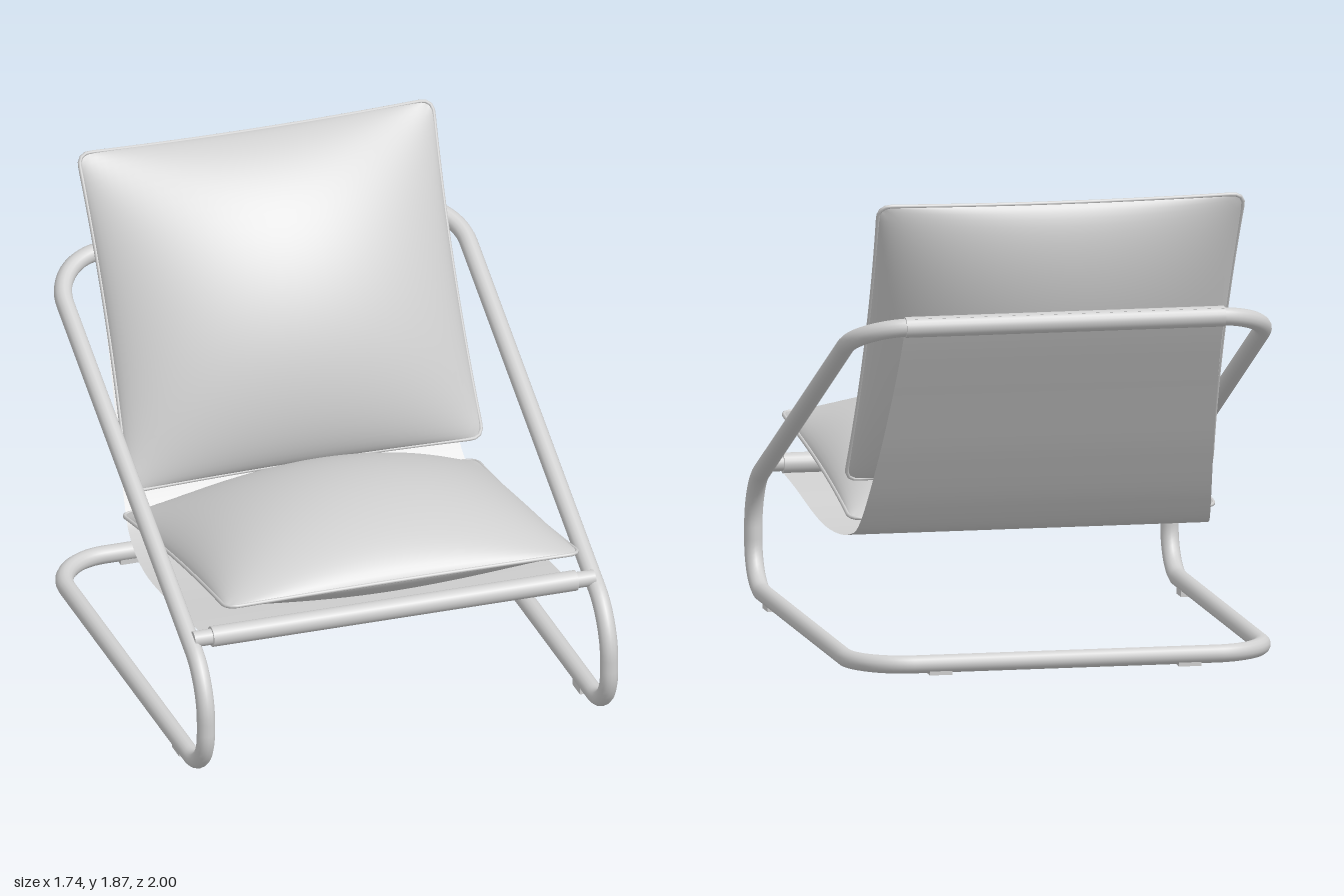
import * as THREE from 'three';

const V = (x, y, z) => new THREE.Vector3(x, y, z);

// closed 3D path through corners, each rounded by its own trim length
function roundedLoop(corners) {
  const path = new THREE.CurvePath();
  const n = corners.length;
  const bends = corners.map(({ p, trim }, i) => {
    const before = corners[(i + n - 1) % n].p, after = corners[(i + 1) % n].p;
    const toward = (q, d) => p.clone().add(q.clone().sub(p).setLength(d));
    return new THREE.CubicBezierCurve3(
      toward(before, trim), toward(before, trim * 0.45),
      toward(after, trim * 0.45), toward(after, trim));
  });
  bends.forEach((bend, i) => {
    path.add(bend);
    path.add(new THREE.LineCurve3(bend.v3, bends[(i + 1) % n].v0));
  });
  return path;
}

// outline rule of a cushion: pinched sides and rounded corners; s, t in -1..1
function cushionPoint(s, t, W, L) {
  const r = 0.05;
  let dx = Math.abs(s) * W - (W - r), dz = Math.abs(t) * L - (L - r);
  if (dx > 0 && dz > 0) {
    const k = Math.max(dx, dz) / Math.hypot(dx, dz);
    dx *= k;
    dz *= k;
  }
  const x = Math.sign(s) * (W - r + dx) * (1 - 0.025 * (1 - t * t));
  const z = Math.sign(t) * (L - r + dz) * (1 - 0.02 * (1 - s * s));
  return [x, z];
}

// one puffed half of a cushion
function cushionHalf(W, L, H, up) {
  const geo = new THREE.PlaneGeometry(2, 2, 36, 36);
  const pos = geo.attributes.position;
  for (let i = 0; i < pos.count; i++) {
    const s = Math.sin(pos.getX(i) * Math.PI / 2);
    const t = -Math.sin(pos.getY(i) * Math.PI / 2);
    const [x, z] = cushionPoint(s, t, W, L);
    const h = H * Math.pow(Math.max(0, (1 - s * s) * (1 - t * t)), 0.66);
    pos.setXYZ(i, x, up ? h : -h, z);
  }
  if (!up) geo.index.array.reverse();
  geo.computeVertexNormals();
  return geo;
}

export function createModel() {
  const model = new THREE.Group();
  const grey = new THREE.MeshStandardMaterial({ color: 0xd0d0d0, side: THREE.DoubleSide });
  grey.name = 'light grey';

  const add = (name, geo, parent = model) => {
    const mesh = new THREE.Mesh(geo, grey);
    mesh.name = name;
    parent.add(mesh);
    return mesh;
  };

  // continuous bent tube frame
  const side = [
    { p: V(0.835, 1.385, -0.965), trim: 0.23 },
    { p: V(0.835, 0.45, 0.963), trim: 0.16 },
    { p: V(0.835, 0.048, 0.963), trim: 0.18 },
    { p: V(0.835, 0.043, -0.963), trim: 0.23 },
  ];
  const otherSide = side.map(({ p, trim }) => ({ p: V(-p.x, p.y, p.z), trim })).reverse();
  add('tubeFrame', new THREE.TubeGeometry(roundedLoop([...side, ...otherSide]), 480, 0.036, 14, true));

  // crossbar and the fabric sleeves around the two bars
  const bar = (name, r, len, y, z) => {
    const geo = new THREE.CylinderGeometry(r, r, len, 18);
    geo.rotateZ(Math.PI / 2);
    add(name, geo).position.set(0, y, z);
  };
  bar('frontCrossbar', 0.032, 1.66, 0.56, 0.79);
  bar('frontSleeve', 0.041, 1.51, 0.56, 0.79);
  bar('backSleeve', 0.041, 1.28, 1.385, -0.963);

  // floor pads
  for (const sx of [-1, 1]) {
    add('frontPad', new THREE.BoxGeometry(0.05, 0.03, 0.09)).position.set(sx * 0.83, 0.016, 0.65);
    add('backPad', new THREE.BoxGeometry(0.09, 0.03, 0.05)).position.set(sx * 0.5, 0.015, -0.96);
  }

  // fabric sling: z, y along its length, narrowing toward the top
  const slingPath = new THREE.SplineCurve([
    [0.8, 0.525], [0.55, 0.5], [0.2, 0.455], [-0.1, 0.436], [-0.3, 0.455], [-0.42, 0.525],
    [-0.6, 0.78], [-0.76, 1.04], [-0.9, 1.27], [-0.985, 1.42],
  ].map(([z, y]) => new THREE.Vector2(z, y)));
  const sling = new THREE.PlaneGeometry(1, 1, 1, 60);
  const pos = sling.attributes.position;
  for (let i = 0; i < pos.count; i++) {
    const p = slingPath.getPoint(pos.getY(i) + 0.5);
    const half = 0.755 - 0.115 * THREE.MathUtils.smoothstep(-p.x, -0.1, 1.0);
    pos.setXYZ(i, Math.sign(pos.getX(i)) * half, p.y, p.x);
  }
  sling.computeVertexNormals();
  add('sling', sling);

  // cushions: two puffed halves and a piped seam
  const cushion = (name, W, L, top, bottom, y, z, tilt) => {
    const group = new THREE.Group();
    group.name = name;
    add(name + 'Top', cushionHalf(W, L, top, true), group);
    add(name + 'Bottom', cushionHalf(W, L, bottom, false), group);
    const rim = [];
    const n = 30;
    for (let k = 0; k < 4; k++) {
      for (let i = 0; i < n; i++) {
        const a = Math.sin((i / n * 2 - 1) * Math.PI / 2);
        const [s, t] = [[a, -1], [1, a], [-a, 1], [-1, -a]][k];
        const [x, zz] = cushionPoint(s, t, W, L);
        rim.push(V(x, 0, zz));
      }
    }
    add(name + 'Piping',
      new THREE.TubeGeometry(new THREE.CatmullRomCurve3(rim, true), 240, 0.008, 6, true), group);
    group.position.set(0, y, z);
    group.rotation.x = tilt;
    model.add(group);
  };
  cushion('seatCushion', 0.735, 0.655, 0.265, 0.165, 0.637, 0.27, -0.164);
  cushion('backCushion', 0.735, 0.672, 0.25, 0.23, 1.265, -0.595, 1.087);

  return model;
}
